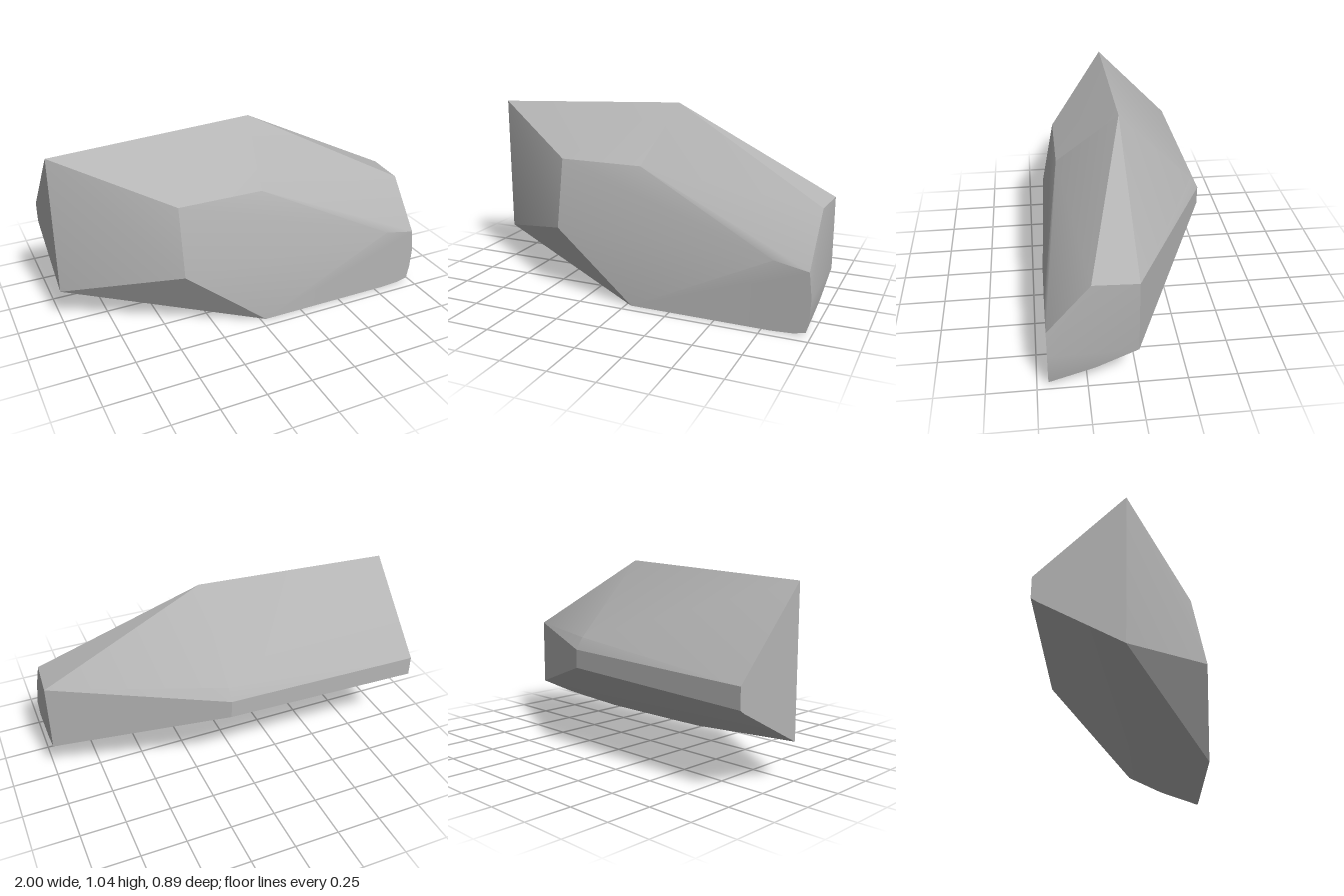
import * as THREE from 'three';
import { ConvexGeometry } from 'three/addons/geometries/ConvexGeometry.js';
import { toCreasedNormals } from 'three/addons/utils/BufferGeometryUtils.js';

export function createModel() {
  const stone = new THREE.MeshStandardMaterial({ color: 0xb4b4b4 });
  stone.name = 'grey stone';

  // corners of the faceted boulder, grouped by the facet they bound
  const corners = [
    // ridge along the top
    [-1, 0.985, 0], [0.12, 1.04, 0], [1, 0.6, 0],
    // flat left end
    [-1, 0.2, 0], [-1, 0.54, -0.43], [-1, 0.43, -0.43], [-1, 0.41, -0.4],
    // blunt back corner
    [0.12, 0.638, -0.402], [0.12, 0.575, -0.445], [0.12, 0.475, -0.445],
    // front shoulder and left front corner
    [-0.43, 0.745, 0.337], [0.04, 0.745, 0.337], [-0.43, 0.37, 0.41],
    // right end with its worn lower edge
    [0.985, 0.597, 0.225], [0.98, 0.335, 0.443], [0.995, 0.2, 0.443], [0.99, 0.1, 0.443],
    [0.975, 0.02, 0.443], [1, 0.21, 0], [0.99, 0.107, 0.21],
    // front foot
    [0.03, 0, 0.443], [0.8, 0, 0.443], [0.91, 0.006, 0.443], [0.8, 0.37, 0.443],
  ].map(p => new THREE.Vector3(...p));

  const boulder = new THREE.Mesh(toCreasedNormals(new ConvexGeometry(corners), 0.42), stone);
  boulder.name = 'boulder';

  const group = new THREE.Group();
  group.name = 'rock';
  group.add(boulder);
  return group;
}
